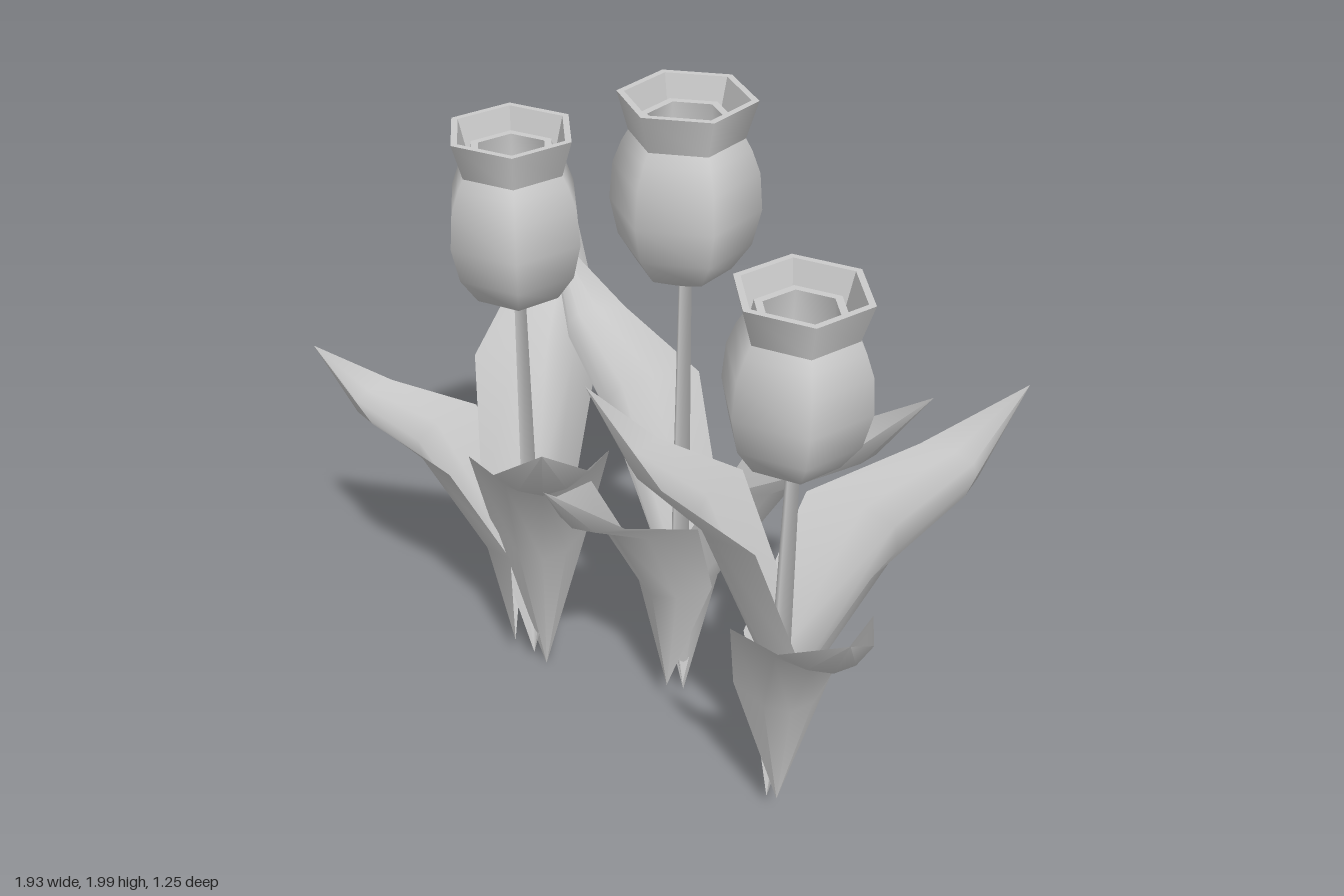
import * as THREE from 'three';

const mat = new THREE.MeshStandardMaterial({ color: 0xcccccc });
const thin = new THREE.MeshStandardMaterial({ color: 0xcccccc, side: THREE.DoubleSide });
const faceted = new THREE.MeshStandardMaterial({ color: 0xcccccc, flatShading: true });

function mesh(name, geometry, material) {
  const m = new THREE.Mesh(geometry, material);
  m.name = name;
  return m;
}

// Leaf rows: [height fraction, reach fraction, half width, inward edge curl (of reach), edge rise]
const ROWS = [
  [0, 0, 0, 0, 0],
  [0.39, 0.15, 0.14, 0.2, 0.03],
  [0.71, 0.48, 0.19, 0.25, 0.02],
  [0.83, 0.8, 0.12, 0.14, 0.005],
  [1, 1, 0, 0, 0],
];
const COLS = 4;

// Cupped blade that wraps the stem, arches outward and turns up at its tip
function leafGeometry(base, tip, width) {
  const a = new THREE.Vector3(...base), b = new THREE.Vector3(...tip);
  const out = new THREE.Vector3(b.x - a.x, 0, b.z - a.z);
  const reach = out.length(), rise = b.y - a.y;
  out.normalize();
  const side = new THREE.Vector3(out.z, 0, -out.x);
  const pos = [], index = [], n = COLS + 1, last = ROWS.length - 1;
  for (const [h, r, w, inward, upward] of ROWS) {
    for (let j = 0; j < n; j++) {
      const u = (j / COLS) * 2 - 1;
      const v = a.clone()
        .addScaledVector(out, (r - inward * u * u) * reach)
        .addScaledVector(side, u * w * width);
      v.y += h * rise + upward * u * u;
      pos.push(v.x, v.y, v.z);
    }
  }
  for (let i = 0; i < last; i++) {
    for (let j = 0; j < COLS; j++) {
      const k = i * n + j;
      if (i > 0) index.push(k, k + 1, k + n);
      if (i < last - 1) index.push(k + 1, k + n + 1, k + n);
    }
  }
  const g = new THREE.BufferGeometry();
  g.setAttribute('position', new THREE.Float32BufferAttribute(pos, 3));
  g.setIndex(index);
  g.computeVertexNormals();
  return g;
}

// Six-sided turned part with corners on the x axis
function hexLathe(points) {
  return new THREE.LatheGeometry(points.map(([r, y]) => new THREE.Vector2(r, y)), 6, Math.PI / 2);
}

function createFlower() {
  const flower = new THREE.Group();
  flower.name = 'flower';
  flower.add(mesh('outerPetals', hexLathe([
    [0, 0], [0.03, 0.005], [0.125, 0.055], [0.175, 0.13], [0.197, 0.23],
    [0.188, 0.33], [0.165, 0.39], [0.148, 0.42],
  ]), mat));
  flower.add(mesh('petalCollar', hexLathe([[0.148, 0.42], [0.177, 0.52]]), mat));
  // Lip of the collar, a groove inside it, and the smaller inner ring
  flower.add(mesh('petalLip', hexLathe([
    [0.177, 0.52], [0.158, 0.52], [0.132, 0.42], [0.122, 0.465], [0.1, 0.465],
  ]), faceted));
  flower.add(mesh('innerPetals', hexLathe([
    [0.1, 0.465], [0.118, 0.27], [0.09, 0.14], [0, 0.1],
  ]), mat));
  return flower;
}

// Three leaves: base and tip relative to the stem, and width factor
const LEAVES = [
  ['lowLeaf', [-0.05, 0.1, 0.025], [-0.565, 1.15, 0.195], 0.97],
  ['tallLeaf', [0.014, 0.07, 0.02], [-0.1, 1.46, -0.5], 0.95],
  ['longLeaf', [0.04, 0.01, -0.01], [0.38, 1.29, 0.575], 1.04],
];

// Plants: x, z, flower base height, leaf turn and flower turn in degrees
const PLANTS = [
  [-0.4, -0.137, 1.32, 0, 0],
  [0.073, -0.187, 1.48, 60, 15],
  [0.51, 0.12, 1.2, 105, 0],
];

export function createModel() {
  const model = new THREE.Group();
  model.name = 'tulips';
  for (const [x, z, height, leafTurn, flowerTurn] of PLANTS) {
    const plant = new THREE.Group();
    plant.name = 'tulip';
    plant.position.set(x, 0, z);

    // Slim three-sided stem reaching just into the cup
    const top = height + 0.105, bottom = 0.4;
    const stem = mesh('stem', new THREE.CylinderGeometry(0.02, 0.035, top - bottom, 3), mat);
    stem.position.y = (top + bottom) / 2;
    plant.add(stem);

    const flower = createFlower();
    flower.position.y = height;
    flower.rotation.y = THREE.MathUtils.degToRad(flowerTurn);
    plant.add(flower);

    const leaves = new THREE.Group();
    leaves.name = 'leaves';
    leaves.rotation.y = THREE.MathUtils.degToRad(leafTurn);
    for (const [name, base, tip, width] of LEAVES) {
      leaves.add(mesh(name, leafGeometry(base, tip, width), thin));
    }
    plant.add(leaves);
    model.add(plant);
  }
  return model;
}
